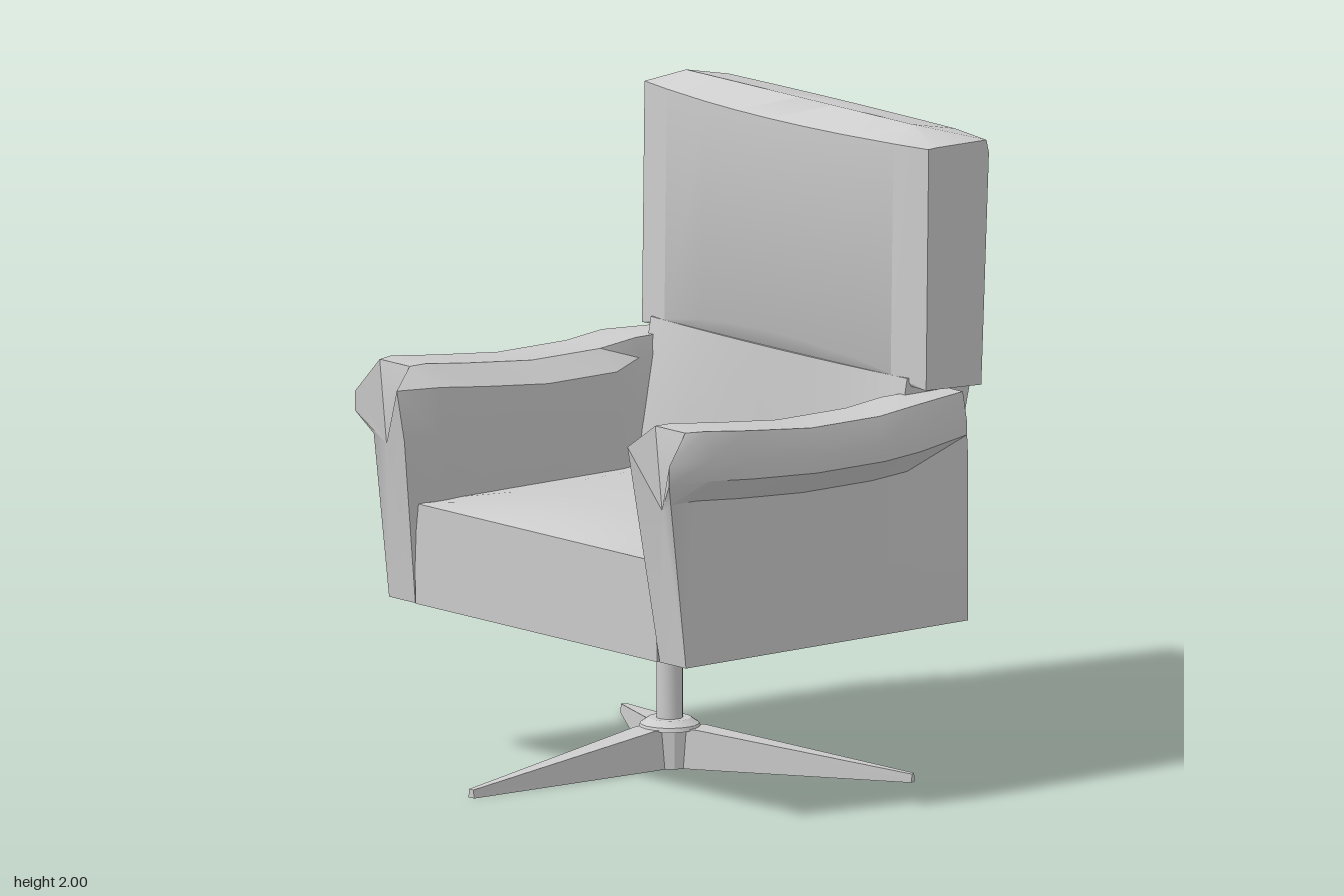
import * as THREE from 'three';
import { toCreasedNormals } from 'three/addons/utils/BufferGeometryUtils.js';

const material = new THREE.MeshStandardMaterial({ color: 0xcccccc });

// Closed solid through rings of equal point count, capped with centre fans
function loft(rings, crease = 0.5) {
  const n = rings[0].length, pos = rings.flat(2), idx = [];
  for (let r = 0; r < rings.length - 1; r++) {
    for (let i = 0; i < n; i++) {
      const a = r * n + i, b = r * n + (i + 1) % n;
      idx.push(a, b, b + n, a, b + n, a + n);
    }
  }
  [0, rings.length - 1].forEach((r) => {
    const c = pos.length / 3;
    for (let k = 0; k < 3; k++) pos.push(rings[r].reduce((s, p) => s + p[k], 0) / n);
    for (let i = 0; i < n; i++) {
      const a = r * n + i, b = r * n + (i + 1) % n;
      if (r === 0) idx.push(c, b, a); else idx.push(c, a, b);
    }
  });
  // Turn the faces outward if the enclosed volume is negative
  const v = (i) => new THREE.Vector3().fromArray(pos, i * 3);
  let volume = 0;
  for (let i = 0; i < idx.length; i += 3) volume += v(idx[i]).dot(v(idx[i + 1]).cross(v(idx[i + 2])));
  if (volume < 0) idx.reverse();
  const g = new THREE.BufferGeometry();
  g.setAttribute('position', new THREE.Float32BufferAttribute(pos, 3));
  g.setIndex(idx);
  return toCreasedNormals(g, crease);
}

function add(parent, name, geometry, x = 0, y = 0, z = 0) {
  const mesh = new THREE.Mesh(geometry, material);
  mesh.name = name;
  mesh.position.set(x, y, z);
  parent.add(mesh);
  return mesh;
}

// Sections across x: the rule gives [z, y] points for a station
const across = (stations, rule) => loft(stations.map((x) => rule(x).map(([z, y]) => [x, y, z])), 0.6);
const mirrored = (half) => [...half.slice(1).map((x) => -x).reverse(), ...half];

// Arm: roll-topped section swept from front to back
function armGeometry(side) {
  // z, outer x, inner x, top y, underside of roll y
  const stations = [
    [0.61, 0.735, 0.54, 1.22, 1.0],
    [0.47, 0.755, 0.495, 1.22, 1.0],
    [0.3, 0.758, 0.495, 1.2, 0.985],
    [0.05, 0.76, 0.497, 1.175, 0.97],
    [-0.22, 0.76, 0.497, 1.175, 0.97],
    [-0.36, 0.757, 0.56, 1.19, 0.98],
    [-0.6, 0.69, 0.572, 1.19, 0.99],
  ];
  return loft(stations.map(([z, out, inn, top, low], s) => {
    const ring = [
      [0.695, 0.49], [0.695, low], [out, low + 0.07], [out, top - 0.09], [Math.min(out - 0.02, 0.735), top],
      [0.575, top], [inn, top - 0.06], [inn, low], [0.572, 0.49],
    ];
    // The front face leans and its upper edge is bevelled back
    const frontZ = [0.51, 0.57, 0.61, 0.61, 0.53, 0.53, 0.61, 0.58, 0.51];
    return ring.map(([x, y], i) => [side * x, y, s === 0 ? frontZ[i] : Math.min(z, frontZ[i] - 0.02)]);
  }), 0.6);
}

export function createModel() {
  const model = new THREE.Group();
  model.name = 'swivelArmchair';

  // Seat with a crowned top
  add(model, 'seat', across(mirrored([0, 0.14, 0.28, 0.42, 0.565]), (x) => {
    const c = 0.05 * (1 - (x / 0.565) ** 2);
    return [[0.515, 0.49], [0.52, 0.8], [0.42, 0.8 + 0.6 * c], [0.25, 0.8 + 0.95 * c],
      [0, 0.8 + c], [-0.55, 0.8 + c], [-0.55, 0.49]];
  }));

  // Lower back, hollowed in front and leaning backward behind
  add(model, 'lowerBack', across(mirrored([0, 0.15, 0.3, 0.45, 0.6]), (x) => {
    const t = (x / 0.6) ** 2;
    return [[-0.41 + 0.055 * t, 0.49], [-0.41 + 0.055 * t, 0.8], [-0.42 - 0.02 * t, 1.24],
      [-0.67, 1.24], [-0.688, 1.2], [-0.599, 0.8], [-0.599, 0.49]];
  }));

  // Upper back cushion: bowed front, bevelled top and clipped corners
  add(model, 'backCushion', across(mirrored([0, 0.16, 0.32, 0.53, 0.665]), (x) => {
    const t = (x / 0.665) ** 2, end = Math.abs(x) > 0.6;
    const front = -0.39 - 0.07 * t, back = -0.722 + 0.015 * t;
    const curl = 1 - t;
    return [[front - 0.045 * curl, 1.21 + 0.02 * curl], [front, 1.21 + 0.09 * curl],
      [front - 0.01, 1.95], [end ? -0.5 : -0.52, end ? 1.952 : 2],
      [back + (end ? 0.01 : 0.025), end ? 1.95 : 1.965], [back, 1.91],
      [back + 0.03, 1.2]];
  }));

  for (const side of [1, -1]) add(model, side > 0 ? 'leftArm' : 'rightArm', armGeometry(side));

  // Swivel base
  const base = new THREE.Group();
  base.name = 'swivelBase';
  base.position.set(-0.06, 0, -0.06);
  model.add(base);

  const post = [[0.04, 0.12], [0.04, 0.33], [0.07, 0.33], [0.07, 0.383], [0.06, 0.383], [0.06, 0.495]];
  const turned = (points) => toCreasedNormals(
    new THREE.LatheGeometry(points.map(([r, y]) => new THREE.Vector2(r, y)), 20), 0.5);
  add(base, 'post', turned(post));
  add(base, 'hubCap', turned([[0.095, 0.115], [0.09, 0.128], [0.065, 0.145], [0, 0.145]]));
  add(base, 'hub', toCreasedNormals(new THREE.CylinderGeometry(0.085, 0.085, 0.12, 12), 0.3), 0, 0.06, 0);

  // Three tapering legs
  const legSection = (z, bottom, top, h) => [[-bottom, 0, z], [bottom, 0, z], [top, h, z], [-top, h, z]];
  for (let i = 0; i < 3; i++) {
    const leg = add(base, 'leg', loft([
      legSection(0, 0.053, 0.046, 0.12), legSection(0.1, 0.053, 0.046, 0.12), legSection(0.78, 0.013, 0.01, 0.026),
    ], 0.2));
    leg.rotation.y = i * Math.PI * 2 / 3;
  }
  return model;
}
